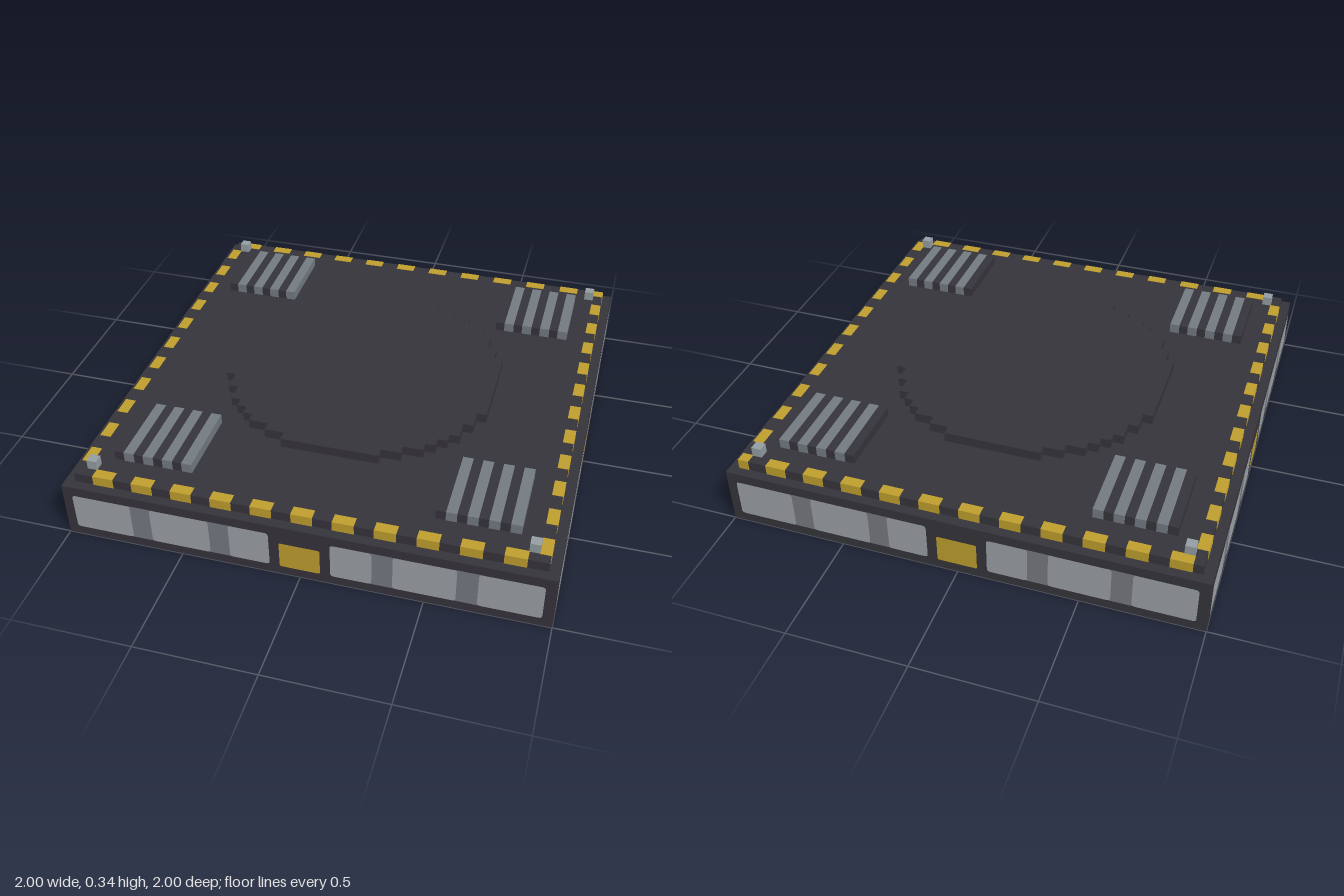
import * as THREE from 'three';

const U = 1 / 24; // one block
const LIFT = 0.002; // how far painted details stand proud

const mat = (name, color) => {
  const m = new THREE.MeshStandardMaterial({ color });
  m.name = name;
  return m;
};

export function createModel() {
  const dark = mat('charcoal', 0x36343b);
  const light = mat('lightGrey', 0x9ca1a8);
  const mid = mat('midGrey', 0x777a82);
  const slate = mat('slateGrey', 0x737b81);
  const pale = mat('paleGrey', 0x949ea3);
  const yellow = mat('hazardYellow', 0xbf9f2e);
  const under = mat('undersideGrey', 0x86898e);

  const model = new THREE.Group();
  model.name = 'landingPad';

  const add = (parent, name, geometry, material) => {
    const mesh = new THREE.Mesh(geometry, material);
    mesh.name = name;
    parent.add(mesh);
    return mesh;
  };

  // Box between two corners in block units, optionally grown by a skin
  const block = (parent, name, material, [x0, y0, z0], [x1, y1, z1], grow = 0) => {
    const g = new THREE.BoxGeometry(
      (x1 - x0) * U + 2 * grow, (y1 - y0) * U + 2 * grow, (z1 - z0) * U + 2 * grow);
    g.translate((x0 + x1) / 2 * U, (y0 + y1) / 2 * U, (z0 + z1) / 2 * U);
    return add(parent, name, g, material);
  };

  // Flat plate with softened corners, in block units
  const plate = (x0, y0, x1, y1, r = 0.35) => {
    const s = new THREE.Shape();
    s.moveTo(x0 + r, y0);
    s.lineTo(x1 - r, y0);
    s.quadraticCurveTo(x1, y0, x1, y0 + r);
    s.lineTo(x1, y1 - r);
    s.quadraticCurveTo(x1, y1, x1 - r, y1);
    s.lineTo(x0 + r, y1);
    s.quadraticCurveTo(x0, y1, x0, y1 - r);
    s.lineTo(x0, y0 + r);
    s.quadraticCurveTo(x0, y0, x0 + r, y0);
    return new THREE.ShapeGeometry(s, 4).scale(U, U, 1);
  };

  // Main slabs
  block(model, 'base', dark, [-24, 0, -24], [24, 6, 24]);
  block(model, 'deck', dark, [-23, 6, -23], [23, 7, 23]);
  const bottom = add(model, 'underside', new THREE.PlaneGeometry(46 * U, 46 * U), under);
  bottom.rotation.x = Math.PI / 2;
  bottom.position.y = -LIFT / 2;

  // Stepped round platform
  const halfWidth = (j) => Math.floor(Math.sqrt(206 - (j + 0.5) ** 2) + 0.5);
  const side = [];
  for (let j = -14; j < 14; j++) {
    const w = halfWidth(j);
    if (j === -14 || halfWidth(j - 1) !== w) side.push([w, j]);
    if (j === 13 || halfWidth(j + 1) !== w) side.push([w, j + 1]);
  }
  const outline = [...side, ...side.map(([x, y]) => [-x, y]).reverse()];
  const disc = new THREE.ExtrudeGeometry(
    new THREE.Shape(outline.map(([x, y]) => new THREE.Vector2(x * U, y * U))),
    { depth: U, bevelEnabled: false });
  disc.rotateX(-Math.PI / 2).translate(0, 7 * U, 0);
  add(model, 'roundPlatform', disc, dark);

  // Side walls: grey panels, dividers and a yellow centre light
  for (let i = 0; i < 4; i++) {
    const wall = new THREE.Group();
    wall.name = 'wallPanels';
    wall.rotation.y = i * Math.PI / 2;
    for (const s of [-1, 1]) {
      for (const c of [8, 16]) {
        add(wall, 'panelDivider', plate(s * c - 1.4, 1, s * c + 1.4, 5, 0.05), mid)
          .position.z = 1 + LIFT / 2;
      }
      for (const [a, b] of [[3, 7], [9, 15], [17, 23]]) {
        add(wall, 'panel', plate(Math.min(s * a, s * b), 1, Math.max(s * a, s * b), 5), light)
          .position.z = 1 + LIFT;
      }
    }
    add(wall, 'centreLight', plate(-2, 1, 2, 4, 0.2), yellow).position.z = 1 + LIFT;
    model.add(wall);
  }

  // Hazard dashes around the deck edge
  const dashes = new THREE.Group();
  dashes.name = 'hazardDashes';
  model.add(dashes);
  const dash = (x0, z0, x1, z1) =>
    block(dashes, 'dash', yellow, [x0, 6, z0], [x1, 7, z1], LIFT);
  for (let k = 0; k < 11; k++) {
    const a = 4 * k;
    dash(a - 21, 22, a - 19, 23);
    dash(a - 22, -23, a - 20, -22);
    dash(-23, a - 21, -22, a - 19);
    dash(22, a - 20, 23, a - 18);
  }
  dash(22, -23, 23, -22);

  // Corner vents with slats, and corner studs
  for (const sx of [-1, 1]) {
    for (const sz of [-1, 1]) {
      const x = sx < 0 ? -20 : 12;
      const z = sz < 0 ? -20 : 12;
      const vent = new THREE.Group();
      vent.name = 'vent';
      block(vent, 'ventBody', dark, [x, 7, z], [x + 8, 8, z + 8]);
      for (let k = 1; k < 8; k += 2) {
        block(vent, 'ventSlat', slate, [x + k, 7, z], [x + k + 1, 8, z + 8], LIFT / 2);
      }
      model.add(vent);
      const cx = sx * 21.5, cz = sz * 21.5;
      block(model, 'cornerStud', pale, [cx - 0.5, 7, cz - 0.5], [cx + 0.5, 8, cz + 0.5]);
    }
  }
  return model;
}
